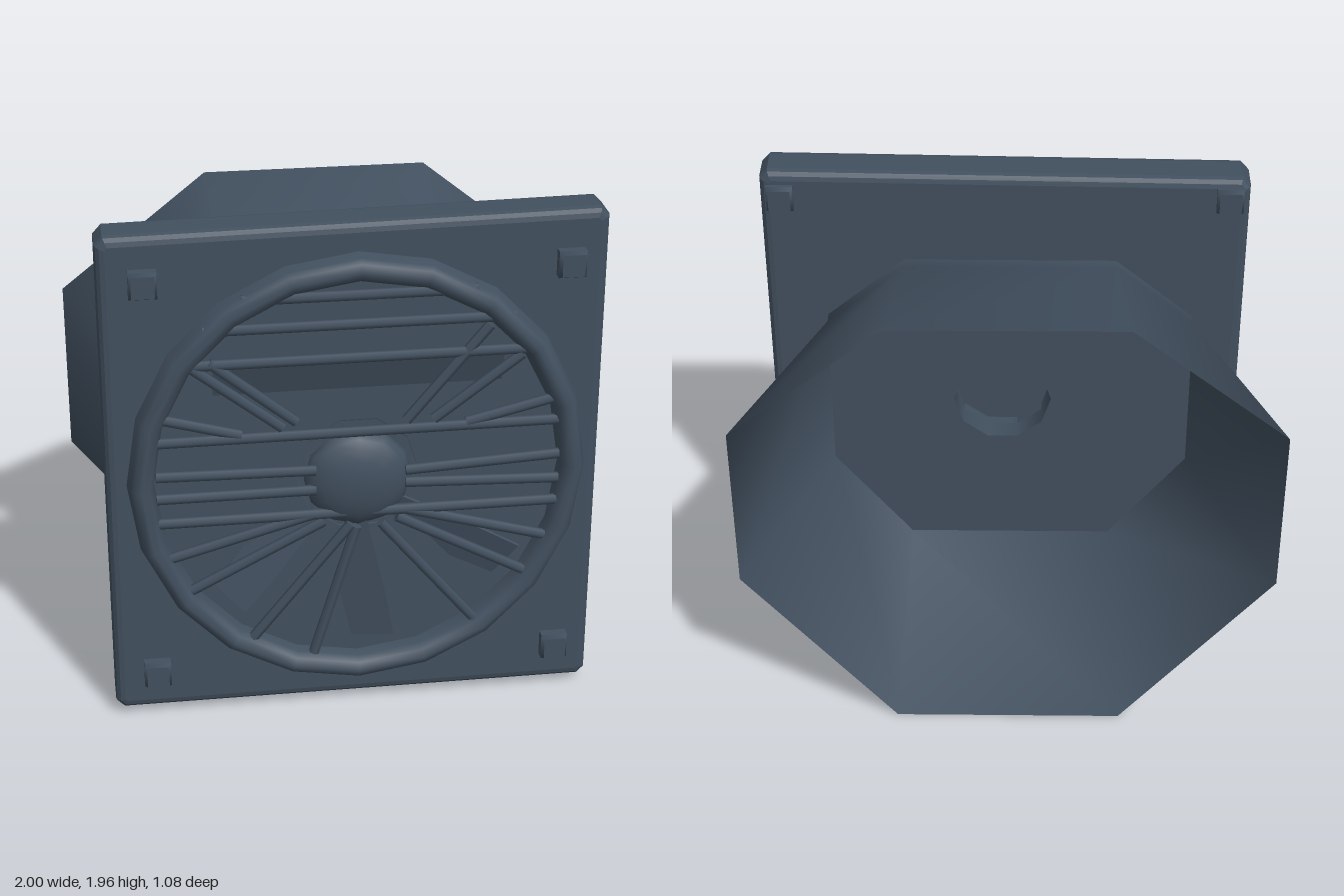
import * as THREE from 'three';

const slate = new THREE.MeshStandardMaterial({ color: 0x414f5e });
slate.name = 'slate';
const slateSheet = new THREE.MeshStandardMaterial({ color: 0x414f5e, side: THREE.DoubleSide });
slateSheet.name = 'slate sheet';

const CX = 0.03, CY = 0.98;

// Octagon with half width w, bottom y0, top y1, flat half width t and side edge from s0 to s1
const octagon = (w, y0, y1, t, s0, s1) => [
  [w, s0], [w, s1], [t, y1], [-t, y1], [-w, s1], [-w, s0], [-t, y0], [t, y0],
];
const THROAT = octagon(0.7, 0.31, 1.59, 0.4, 0.69, 1.34);
const MOUTH = octagon(1, 0, 1.815, 0.43, 0.69, 1.36);
const toPoints = (pts) => pts.map(([x, y]) => new THREE.Vector2(x, y));

export function createModel() {
  const model = new THREE.Group();
  const add = (name, geometry, x = 0, y = 0, z = 0, material = slate) => {
    const mesh = new THREE.Mesh(geometry, material);
    mesh.name = name;
    mesh.position.set(x, y, z);
    model.add(mesh);
    return mesh;
  };

  // Square wall plate with bevelled edges, slightly skewed top and a bore for the hub
  const plate = new THREE.Shape(toPoints([
    [-0.86, 0.03], [0.9, 0.03], [0.93, 0.06], [0.93, 1.93],
    [0.9, 1.962], [-0.86, 1.938], [-0.89, 1.905], [-0.89, 0.06],
  ]));
  plate.holes.push(new THREE.Path().absarc(CX, CY, 0.19, 0, Math.PI * 2, true));
  add('wallPlate', new THREE.ExtrudeGeometry(plate, {
    depth: 0.11, bevelThickness: 0.035, bevelSize: 0.035, bevelOffset: -0.035,
    bevelSegments: 3, curveSegments: 5,
  }), 0, 0, 0.305);

  // Flared rear duct: octagonal cross-sections joined by smooth walls
  const sections = [[THROAT, 0.28], [THROAT, 0.22], [MOUTH, -0.54]];
  const positions = [], index = [];
  sections.forEach(([pts, z]) => pts.forEach(([x, y]) => positions.push(x, y, z)));
  for (let s = 0; s < sections.length - 1; s++) {
    for (let i = 0; i < 8; i++) {
      const a = s * 8 + i, b = s * 8 + (i + 1) % 8;
      index.push(a, a + 8, b, b, a + 8, b + 8);
    }
  }
  const duct = new THREE.BufferGeometry();
  duct.setAttribute('position', new THREE.Float32BufferAttribute(positions, 3));
  duct.setIndex(index);
  duct.computeVertexNormals();
  add('rearDuct', duct, 0, 0, 0, slateSheet);

  // Panel closing the duct throat, with the hollow back of the hub
  const panel = new THREE.Shape(toPoints(THROAT));
  panel.holes.push(new THREE.Path().absarc(CX, CY, 0.19, 0, Math.PI * 2, true));
  add('throatPanel', new THREE.ShapeGeometry(panel, 5), 0, 0, 0.22, slateSheet);
  const wall = new THREE.CylinderGeometry(0.19, 0.19, 0.13, 10, 1, true);
  wall.rotateY(Math.PI / 2).rotateX(Math.PI / 2);
  add('hubWall', wall, CX, CY, 0.285, slateSheet);
  add('hubBack', new THREE.CircleGeometry(0.2, 20), CX, CY, 0.345, slateSheet);

  // Low domed front hub on a flat collar
  add('hubCollar', new THREE.CircleGeometry(0.24, 20), CX, CY, 0.449);
  const dome = new THREE.SphereGeometry(0.2, 12, 6, 0, Math.PI * 2, 0, Math.PI / 2);
  dome.rotateX(Math.PI / 2).scale(1, 0.97, 0.43);
  add('hubDome', dome, CX, 0.965, 0.449);

  // Guard ring with a flat outer wall and a rounded lip
  const lip = toPoints([
    [0.845, 0], [0.835, 0.045], [0.822, 0.07], [0.795, 0.085], [0.765, 0.07], [0.75, 0.04], [0.745, 0],
  ]);
  const ring = add('guardRing', new THREE.LatheGeometry(lip, 20).rotateX(Math.PI / 2), CX, 0.985, 0.449, slateSheet);
  ring.scale.set(1, 1.02, 1);

  // Guard bars: [x1, y1, x2, y2]
  const bars = [
    [-0.39, 1.7, 0.45, 1.7], [-0.53, 1.59, 0.59, 1.59], [-0.62, 1.46, 0.67, 1.46],
    [-0.72, 1.165, 0.77, 1.17], [-0.76, 0.84, 0.77, 0.84],
    [-0.71, 1.03, -0.13, 1.02], [-0.71, 0.94, -0.13, 0.94],
    [0.2, 0.95, 0.77, 0.93], [0.2, 1.0, 0.77, 1.03],
    [-0.57, 1.45, -0.25, 1.2], [-0.51, 1.47, -0.2, 1.22], [-0.69, 1.26, -0.4, 1.18],
    [-0.68, 0.69, -0.14, 0.84], [-0.62, 0.54, -0.1, 0.81], [-0.38, 0.32, 0, 0.79],
    [-0.14, 0.25, 0.02, 0.78], [0.3, 1.2, 0.62, 1.44], [0.42, 1.18, 0.75, 1.26],
    [0.2, 1.2, 0.5, 1.56], [0.2, 0.84, 0.74, 0.69], [0.17, 0.81, 0.67, 0.54],
    [0.11, 0.79, 0.48, 0.34],
  ];
  const up = new THREE.Vector3(0, 1, 0);
  for (const [x1, y1, x2, y2] of bars) {
    const along = new THREE.Vector3(x2 - x1, y2 - y1, 0);
    const bar = add('guardBar', new THREE.CylinderGeometry(0.02, 0.02, along.length(), 6),
      (x1 + x2) / 2, (y1 + y2) / 2, 0.49);
    bar.quaternion.setFromUnitVectors(up, along.normalize());
  }

  // Pitched fan blades below the hub
  const blade = new THREE.Shape(toPoints([
    [-0.02, 0.18], [0.02, 0.18], [0.1, 0.5], [0.07, 0.68], [-0.09, 0.68], [-0.07, 0.5],
  ]));
  const bladeGeometry = new THREE.ExtrudeGeometry(blade, { depth: 0.012, bevelEnabled: false });
  bladeGeometry.rotateY(0.25);
  for (const turn of [0.07, -0.8, 0.95]) {
    add('fanBlade', bladeGeometry, CX, CY, 0.465).rotation.z = Math.PI + turn;
  }

  // Sloping baffle behind the upper half of the guard
  const baffle = add('upperBaffle', new THREE.BoxGeometry(1.05, 0.2, 0.012), CX, 1.36, 0.455);
  baffle.rotation.x = 0.3;

  // Square corner bolts: front heads and rear nuts
  const head = new THREE.CylinderGeometry(0.058, 0.071, 0.02, 4, 1, false).rotateY(Math.PI / 4);
  const shank = new THREE.BoxGeometry(0.1, 0.04, 0.1);
  const bolt = (name, x, y, z, turn) => {
    const group = new THREE.Group();
    group.name = name;
    const cap = new THREE.Mesh(head, slate);
    cap.position.y = 0.03;
    group.add(new THREE.Mesh(shank, slate), cap);
    group.position.set(x, y, z);
    group.rotation.x = turn;
    model.add(group);
  };
  for (const side of [-1, 1]) {
    for (const level of [-1, 1]) {
      bolt('frontBolt', CX + side * 0.76, 0.983 + level * 0.787, 0.465, Math.PI / 2);
      bolt('rearNut', 0.02 + side * 0.835, 0.995 + level * 0.865, 0.275, -Math.PI / 2);
    }
  }

  return model;
}
